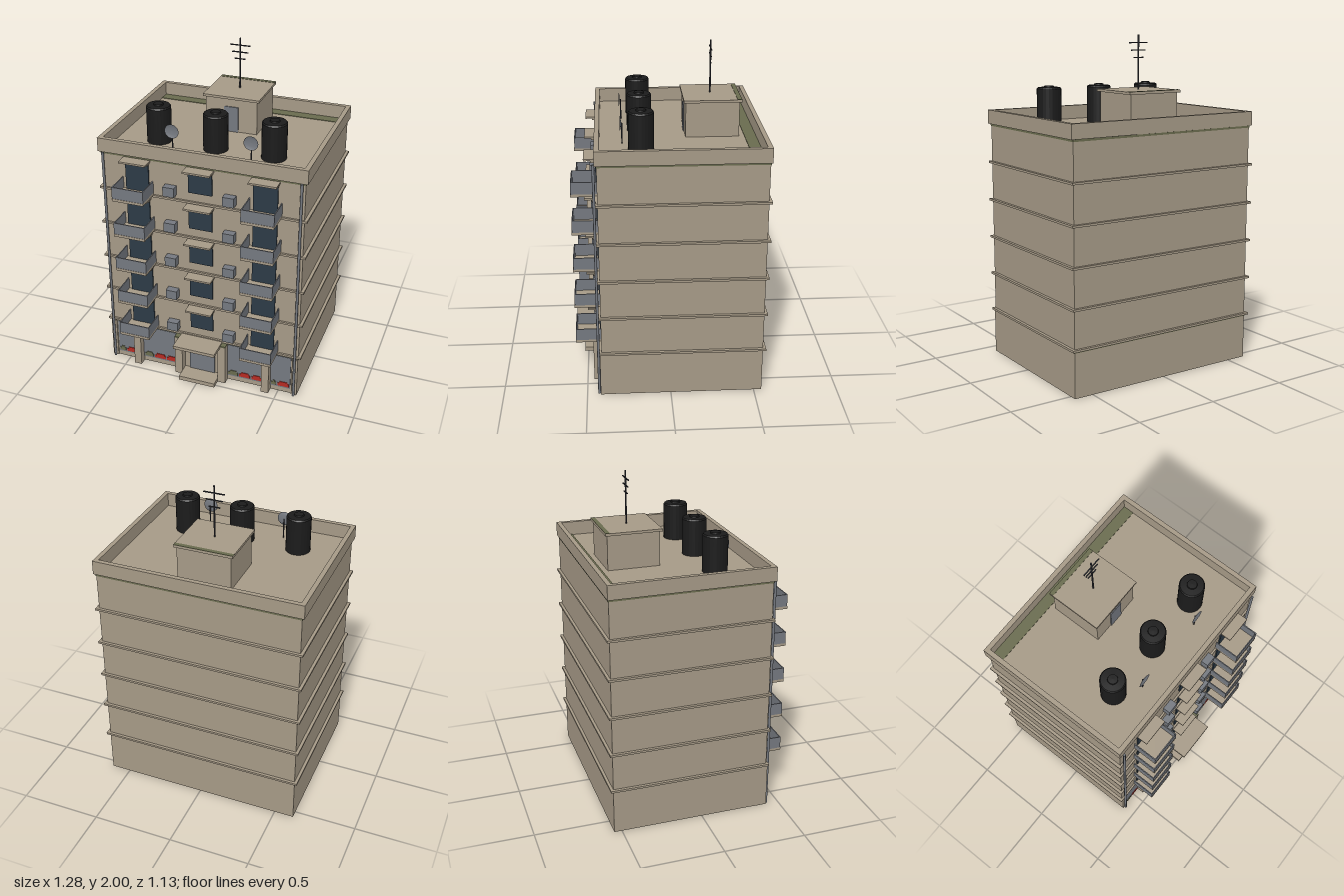
import * as THREE from 'three';

const mat = (name, color, side = THREE.FrontSide) => {
  const m = new THREE.MeshStandardMaterial({ color, side });
  m.name = name;
  return m;
};

export function createModel() {
  const wall = mat('tan plaster', 0xa59986);
  const moss = mat('olive trim', 0x696b4e);
  const glass = mat('dark window glass', 0x2c3a46);
  const grey = mat('blue grey metal', 0x74787f);
  const black = mat('black plastic', 0x1b1b1b);
  const red = mat('red goods', 0xb52a22);
  const dark = mat('dark steel', 0x33343a);
  const dishGrey = mat('dish grey', 0x74787f, THREE.DoubleSide);

  const model = new THREE.Group();
  model.name = 'apartmentBuilding';

  // Box given by its limits on each axis
  const box = (name, m, x0, x1, y0, y1, z0, z1, parent = model) => {
    const mesh = new THREE.Mesh(new THREE.BoxGeometry(x1 - x0, y1 - y0, z1 - z0), m);
    mesh.position.set((x0 + x1) / 2, (y0 + y1) / 2, (z0 + z1) / 2);
    mesh.name = name;
    parent.add(mesh);
    return mesh;
  };
  const rod = (name, m, r, x, y0, y1, z) => {
    const mesh = new THREE.Mesh(new THREE.CylinderGeometry(r, r, y1 - y0, 8), m);
    mesh.position.set(x, (y0 + y1) / 2, z);
    mesh.name = name;
    model.add(mesh);
  };

  const BACK = -0.547, FRONT = 0.41, HALF = 0.62, ROOF = 1.46;

  // Main block
  box('mainBlock', wall, -HALF, HALF, 0.001, ROOF, BACK, FRONT);
  box('roofTrim', moss, -HALF - 0.003, HALF + 0.003, 1.447, ROOF - 0.001, BACK - 0.003, FRONT + 0.003);
  box('roofEdgeStrip', moss, -0.608, 0.608, ROOF, ROOF + 0.003, -0.528, -0.46);
  box('baseEdgeStrip', moss, -HALF, HALF, 0, 0.001, 0.33, FRONT);

  // Parapet ring
  const px = 0.635, pb = -0.556, pf = 0.423, pt = 0.028;
  box('parapetFront', wall, -px, px, ROOF, 1.545, pf - pt, pf);
  box('parapetBack', wall, -px, px, ROOF, 1.545, pb, pb + pt);
  for (const s of [-1, 1]) {
    const x = s * (px - pt / 2);
    box('parapetSide', wall, x - pt / 2, x + pt / 2, ROOF, 1.545, pb + pt, pf - pt);
    // Drain pipes at the front corners
    rod('drainPipe', grey, 0.008, s * 0.602, 0, ROOF, 0.428);
  }

  // Window with a small awning and two brackets
  const addWindow = (x, f, y0, parent) => {
    box('window', glass, x - 0.073, x + 0.073, y0, f + 0.2, FRONT, FRONT + 0.008, parent);
    box('awning', wall, x - 0.083, x + 0.083, f + 0.205, f + 0.216, FRONT, 0.485, parent);
    for (const s of [-1, 1]) {
      const bx = x + s * 0.072;
      box('awningBracket', wall, bx - 0.006, bx + 0.006, f + 0.193, f + 0.205, FRONT, 0.445, parent);
    }
  };

  // Upper storeys
  for (let i = 0; i < 5; i++) {
    const f = 0.29 + 0.235 * i;
    const storey = new THREE.Group();
    storey.name = 'storey' + (i + 1);
    model.add(storey);
    box('floorBand', wall, -0.638, 0.638, f - 0.013, f, -0.564, 0.422, storey);
    addWindow(0, f, f + 0.055, storey);
    for (const s of [-1, 1]) {
      const x = s * 0.392, w = 0.098;
      addWindow(x, f, f + 0.012, storey);
      // Balcony slab and solid railing panels
      box('balconySlab', wall, x - w, x + w, f - 0.004, f + 0.012, FRONT, 0.563, storey);
      box('balconyFrontPanel', grey, x - w, x + w, f + 0.012, f + 0.085, 0.555, 0.561, storey);
      for (const e of [-1, 1]) {
        const ex = x + e * (w - 0.003);
        box('balconySidePanel', grey, ex - 0.003, ex + 0.003, f + 0.012, f + 0.085, FRONT, 0.555, storey);
      }
      // Air conditioner
      box('airConditioner', grey, s * 0.183 - 0.035, s * 0.183 + 0.035, f + 0.024, f + 0.083, FRONT, 0.455, storey);
    }
  }

  // Shop front
  box('groundTrim', moss, -HALF - 0.002, HALF + 0.002, 0.268, 0.277, BACK - 0.002, FRONT + 0.003);
  for (const s of [-1, 1]) {
    const span = (name, m, a, b, y0, y1, z0, z1) =>
      box(name, m, Math.min(s * a, s * b), Math.max(s * a, s * b), y0, y1, z0, z1);
    span('outerShopWindow', grey, 0.45, 0.577, 0.035, 0.268, FRONT, FRONT + 0.006);
    span('innerShopWindow', grey, 0.165, 0.403, 0.035, 0.268, FRONT, FRONT + 0.006);
    span('outerPillar', wall, 0.403, 0.45, 0, 0.268, FRONT, 0.46);
    span('outerPillarCap', moss, 0.403, 0.45, 0.268, 0.277, FRONT, 0.46);
    span('entrancePillar', wall, 0.118, 0.168, 0, 0.268, FRONT, 0.46);
    span('entrancePillarCap', moss, 0.118, 0.168, 0.268, 0.277, FRONT, 0.46);
    span('cornerPillar', wall, 0.585, HALF, 0, 0.268, FRONT, 0.42);
  }
  // Goods on show behind the glass line, [left edge, right edge, material]
  const goods = [
    [-0.572, -0.53, moss], [-0.522, -0.458, red], [-0.393, -0.335, moss], [-0.325, -0.25, red],
    [-0.243, -0.175, red], [0.175, 0.238, moss], [0.248, 0.317, red], [0.328, 0.392, red],
    [0.455, 0.487, moss], [0.497, 0.57, red],
  ];
  for (const [a, b, m] of goods) {
    box('shopGoods', m, a, b, 0.046, 0.066, FRONT + 0.006, FRONT + 0.01);
    box('shopGoodsTop', m, a + 0.012, b - 0.008, 0.066, 0.078, FRONT + 0.006, FRONT + 0.01);
  }

  // Entrance
  box('entranceDoor', grey, -0.083, 0.083, 0.025, 0.215, FRONT, FRONT + 0.008);
  box('entranceStep', wall, -0.118, 0.118, 0, 0.027, FRONT, 0.523);
  box('entranceCanopy', wall, -0.135, 0.135, 0.264, 0.284, FRONT, 0.565);

  // Stair house on the roof
  box('stairHouse', wall, -0.163, 0.163, ROOF, 1.67, -0.428, -0.112);
  box('stairHouseRoof', wall, -0.178, 0.178, 1.67, 1.685, -0.44, -0.1);
  box('stairHouseRoofStrip', moss, -0.177, 0.177, 1.685, 1.687, -0.44, -0.414);
  box('stairHouseDoor', grey, -0.045, 0.045, ROOF, 1.62, -0.112, -0.106);

  // Antenna
  rod('antennaMast', dark, 0.005, 0, 1.685, 2, -0.268);
  [[1.955, 0.064], [1.912, 0.05], [1.87, 0.034]].forEach(([y, w]) =>
    box('antennaBar', dark, -w, w, y - 0.003, y + 0.003, -0.271, -0.265));

  // Water tanks
  const tankProfile = [[0, 0], [0.074, 0], [0.074, 0.218], [0.068, 0.226], [0.03, 0.228], [0.028, 0.236], [0, 0.237]]
    .map(([r, y]) => new THREE.Vector2(r, y));
  for (const x of [-0.357, 0, 0.357]) {
    const tank = new THREE.Mesh(new THREE.LatheGeometry(tankProfile, 24).toNonIndexed(), black);
    tank.geometry.computeVertexNormals();
    tank.name = 'waterTank';
    tank.position.set(x, ROOF, 0.156);
    model.add(tank);
  }

  // Satellite dishes facing the front
  const dishProfile = [[0, 0], [0.02, 0.001], [0.034, 0.004], [0.044, 0.008]].map(([r, y]) => new THREE.Vector2(r, y));
  for (const x of [-0.228, 0.255]) {
    const dish = new THREE.Mesh(new THREE.LatheGeometry(dishProfile, 20), dishGrey);
    dish.rotation.x = Math.PI / 2;
    dish.position.set(x, 1.584, 0.267);
    dish.name = 'satelliteDish';
    model.add(dish);
    rod('dishPole', dark, 0.004, x, ROOF, 1.584, 0.263);
  }
  return model;
}
